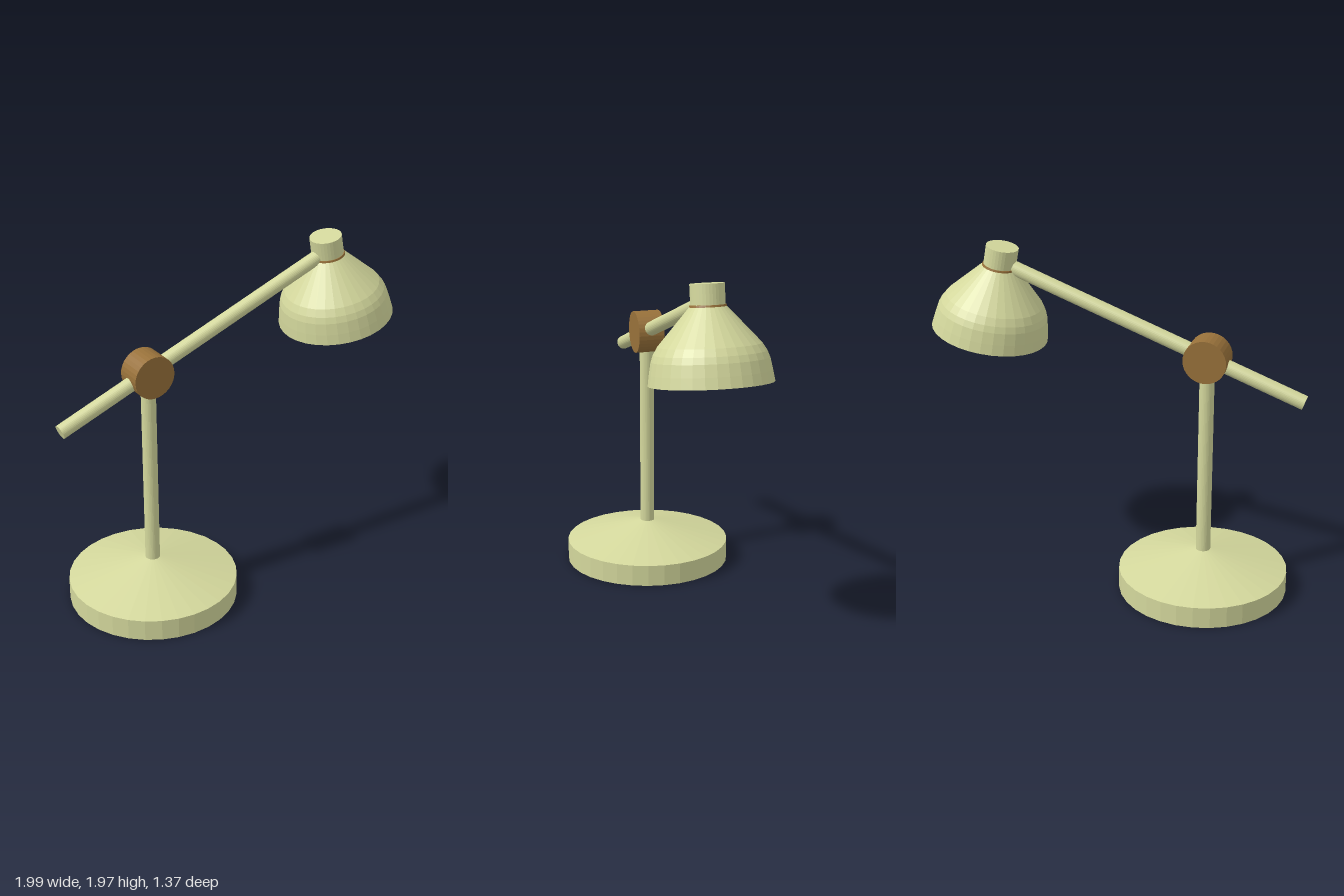
import * as THREE from 'three';

const SIDES = 32;
const cream = new THREE.MeshStandardMaterial({ color: 0xd3d79c, flatShading: true });
const creamShell = new THREE.MeshStandardMaterial({ color: 0xd3d79c, flatShading: true, side: THREE.DoubleSide });
const wood = new THREE.MeshStandardMaterial({ color: 0x98713a, flatShading: true });

function addPart(parent, name, geometry, material, x = 0, y = 0, z = 0) {
  const mesh = new THREE.Mesh(geometry, material);
  mesh.name = name;
  mesh.position.set(x, y, z);
  parent.add(mesh);
  return mesh;
}

const lathe = (points) =>
  new THREE.LatheGeometry(points.map(([r, h]) => new THREE.Vector2(r, h)), SIDES);

export function createModel() {
  const lamp = new THREE.Group();
  lamp.name = 'deskLamp';

  // Stand: x runs along the arm once the whole stand is turned
  const stand = new THREE.Group();
  stand.name = 'stand';
  stand.position.set(-0.48, 0, 0.2);
  lamp.add(stand);

  // Disc base with a shallow conical top
  addPart(stand, 'base', lathe([[0, 0], [0.485, 0], [0.485, 0.125], [0.042, 0.243], [0, 0.243]]), cream);
  addPart(stand, 'post', new THREE.CylinderGeometry(0.042, 0.042, 1.14, SIDES), cream, 0, 0.79, 0);

  // Upper assembly swings round the post
  const upper = new THREE.Group();
  upper.name = 'swingingArm';
  upper.rotation.y = 0.45;
  stand.add(upper);

  // Wooden pivot drum, axis across the arm
  const pivot = addPart(upper, 'pivot', new THREE.CylinderGeometry(0.123, 0.123, 0.152, SIDES), wood, 0, 1.422, 0);
  pivot.rotation.x = Math.PI / 2;

  // Sloping arm from the free tail to the shade neck
  const tail = new THREE.Vector2(-0.55, 1.224);
  const tip = new THREE.Vector2(1.17, 1.85);
  const span = tip.clone().sub(tail);
  const arm = addPart(upper, 'arm', new THREE.CylinderGeometry(0.041, 0.041, span.length(), SIDES), cream,
    (tail.x + tip.x) / 2, (tail.y + tip.y) / 2, 0);
  arm.rotation.z = span.angle() - Math.PI / 2;

  // Tilted lamp head, origin at the centre of the rim
  const head = new THREE.Group();
  head.name = 'lampHead';
  head.position.set(1.274, 1.441, 0);
  head.rotation.z = THREE.MathUtils.degToRad(10);
  upper.add(head);

  // Hollow shade: outer wall up, inner wall back down
  const outer = [[0.332, 0], [0.323, 0.06], [0.311, 0.125], [0.298, 0.16], [0.274, 0.2], [0.098, 0.398]];
  const inner = [[0, 0.385], [0.085, 0.385], [0.255, 0.195], [0.28, 0.155], [0.292, 0.12], [0.312, 0], [0.332, 0]];
  addPart(head, 'shade', lathe([...inner, ...outer.slice(1), [0, 0.398]]), creamShell);

  // Thin collar ring and closed neck
  const collar = addPart(head, 'collarRing', new THREE.CylinderGeometry(0.096, 0.099, 0.012, SIDES), wood, 0, 0.402, 0);
  collar.name = 'collarRing';
  addPart(head, 'neck', new THREE.CylinderGeometry(0.092, 0.092, 0.115, SIDES), cream, 0, 0.46, 0);

  return lamp;
}
